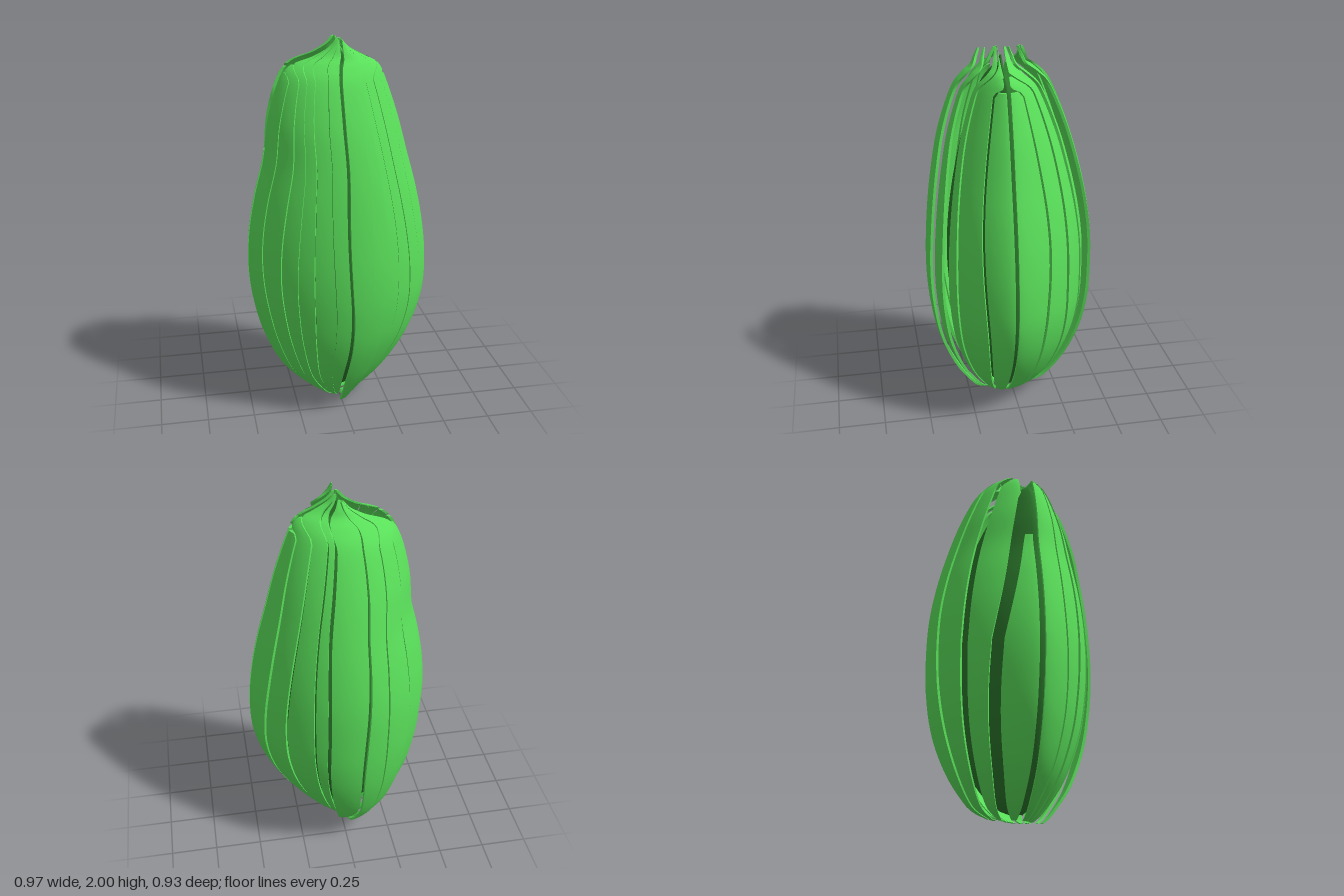
import * as THREE from 'three';
import { toCreasedNormals } from 'three/addons/utils/BufferGeometryUtils.js';
import { ParametricGeometry } from 'three/addons/geometries/ParametricGeometry.js';

// Body profile: y, left x, right x, front depth, back depth
const PROFILE = [
  [0, -0.05, 0.03, 0.05, 0.07], [0.05, -0.155, 0.13, 0.10, 0.18], [0.2, -0.31, 0.28, 0.20, 0.29],
  [0.4, -0.41, 0.41, 0.28, 0.37], [0.6, -0.463, 0.475, 0.32, 0.41], [0.8, -0.485, 0.485, 0.335, 0.42],
  [1.0, -0.475, 0.465, 0.33, 0.415], [1.2, -0.44, 0.425, 0.31, 0.385], [1.4, -0.39, 0.37, 0.275, 0.335],
  [1.6, -0.365, 0.315, 0.225, 0.27], [1.8, -0.305, 0.245, 0.15, 0.18], [1.88, -0.24, 0.2, 0.095, 0.11],
  [1.92, -0.13, 0.125, 0.055, 0.055], [1.96, -0.055, 0.055, 0.035, 0.035], [2.0, -0.018, 0.018, 0.015, 0.015],
];
const ROWS = 70, SEGS = 8, WALL = 0.016;
// Over 1 makes the plan lens-shaped, pointed at the side seams
const POINTED = 1.35;

// Strips per half: seam positions u (-1..1 across the width), push out along z, extra push near the top
const FRONT = {
  name: 'frontPeel', sign: 1, seamZ: 0.065, gap: 0.004,
  seams: [-1, -0.86, -0.68, -0.53, -0.38, -0.17, 0.01, 0.25, 0.42, 0.55, 0.7, 0.86, 1],
  push: [0, 0.004, 0.012, 0.006, 0.012, 0.004, 0.068, 0.045, 0.012, 0.006, 0.01, 0],
  flare: [0, 0, 0, 0, 0, 0.01, 0.025, 0.02, 0, 0, 0, 0],
};
const BACK = {
  name: 'backPeel', sign: -1, seamZ: 0.045, gap: 0.01,
  seams: [-1, -0.85, -0.65, -0.4, -0.17, 0.25, 0.38, 0.64, 0.86, 1],
  push: [0.012, 0.06, 0.085, 0.09, 0.058, 0.01, 0.005, 0, 0],
  flare: [0, 0, 0, 0, 0.01, 0.01, 0, 0, 0],
};

const columns = [1, 2, 3, 4].map(k =>
  new THREE.SplineCurve(PROFILE.map(p => new THREE.Vector2(p[0], p[k]))));

// Centre, half width and depths of the body at t (0 bottom, 1 top)
function section(t) {
  const pts = columns.map(c => c.getPoint(t));
  const [xl, xr, front, back] = pts.map(p => p.y);
  return { y: pts[0].x, cx: (xl + xr) / 2, w: (xr - xl) / 2, front, back };
}
const inset = (r, t) => Math.max(r - t, r * 0.3);
const bulge = a => Math.pow(Math.abs(Math.cos(a)), POINTED);

// Seams wander a little and spread near the top; on the back right they run out at the side seam earlier
function seamAt(u, y, sign) {
  if (Math.abs(u) === 1) return u;
  const early = sign < 0 && u < 0 ? 0.22 * Math.max(0, y - 0.8) : 0;
  const drift = 1 + early + 0.8 * THREE.MathUtils.smoothstep(y, 1.8, 1.96);
  const wave = 0.018 * Math.sin(4.2 * y + 7 * u);
  return THREE.MathUtils.clamp(u * drift + wave, -1, 1);
}

// One peel strip: a closed curved slab swept up the body
function stripGeometry({ sign, seamZ, gap, seams, push, flare }, k) {
  const rings = [];
  for (let i = 0; i <= ROWS; i++) {
    const { y, cx, w, front, back } = section(i / ROWS);
    const s0 = seamAt(seams[k], y, sign), s1 = seamAt(seams[k + 1], y, sign);
    if (s1 - s0 < 3 * gap) continue;
    const a0 = Math.asin(s0 > -1 ? s0 + gap : -1);
    const a1 = Math.asin(s1 < 1 ? s1 - gap : 1);
    const depth = sign > 0 ? front : back;
    const dz = push[k] + flare[k] * THREE.MathUtils.smoothstep(y, 1, 1.8);
    const point = (j, t) => {
      const a = a0 + (a1 - a0) * j / SEGS;
      return new THREE.Vector3(cx + inset(w, t) * Math.sin(a), y,
        seamZ + sign * (dz + inset(depth, t) * bulge(a)));
    };
    const ring = [];
    for (let j = 0; j <= SEGS; j++) ring.push(point(j, 0));
    for (let j = SEGS; j >= 0; j--) ring.push(point(j, WALL));
    rings.push(ring);
  }
  const n = 2 * (SEGS + 1), pos = [];
  const tri = (a, b, c) => (sign > 0 ? [a, b, c] : [a, c, b]).forEach(v => pos.push(v.x, v.y, v.z));
  for (let i = 0; i < rings.length - 1; i++) {
    const lo = rings[i], hi = rings[i + 1];
    for (let j = 0; j < n; j++) {
      const m = (j + 1) % n;
      tri(lo[j], lo[m], hi[m]);
      tri(lo[j], hi[m], hi[j]);
    }
  }
  // End caps
  const bottom = rings[0], top = rings[rings.length - 1];
  for (let j = 0; j < SEGS; j++) {
    const p = n - 1 - j;
    tri(top[j], top[j + 1], top[p - 1]);
    tri(top[j], top[p - 1], top[p]);
    tri(bottom[j], bottom[p - 1], bottom[j + 1]);
    tri(bottom[j], bottom[p], bottom[p - 1]);
  }
  const geo = new THREE.BufferGeometry();
  geo.setAttribute('position', new THREE.Float32BufferAttribute(pos, 3));
  return toCreasedNormals(geo, 0.7);
}

// Darker flesh just under the peel, seen through the seams
function coreGeometry() {
  return new ParametricGeometry((u, v, target) => {
    const { y, cx, w, front, back } = section(v);
    const a = u * Math.PI * 2, side = Math.sign(Math.cos(a));
    const depth = inset(side > 0 ? front : back, 0.04);
    target.set(cx + inset(w, 0.018) * Math.sin(a), 0.03 + y * 0.965, 0.055 + side * depth * bulge(a));
  }, 48, 60);
}

export function createModel() {
  const model = new THREE.Group();
  model.name = 'slicedFruit';
  const green = new THREE.MeshStandardMaterial({ color: 0x5ae05a });
  const darkGreen = new THREE.MeshStandardMaterial({ color: 0x2c782c });
  const core = new THREE.Mesh(coreGeometry(), darkGreen);
  core.name = 'core';
  model.add(core);
  for (const half of [FRONT, BACK]) {
    const group = new THREE.Group();
    group.name = half.name;
    half.push.forEach((_, k) => {
      const strip = new THREE.Mesh(stripGeometry(half, k), green);
      strip.name = `${half.name}Strip${k + 1}`;
      group.add(strip);
    });
    model.add(group);
  }
  return model;
}
